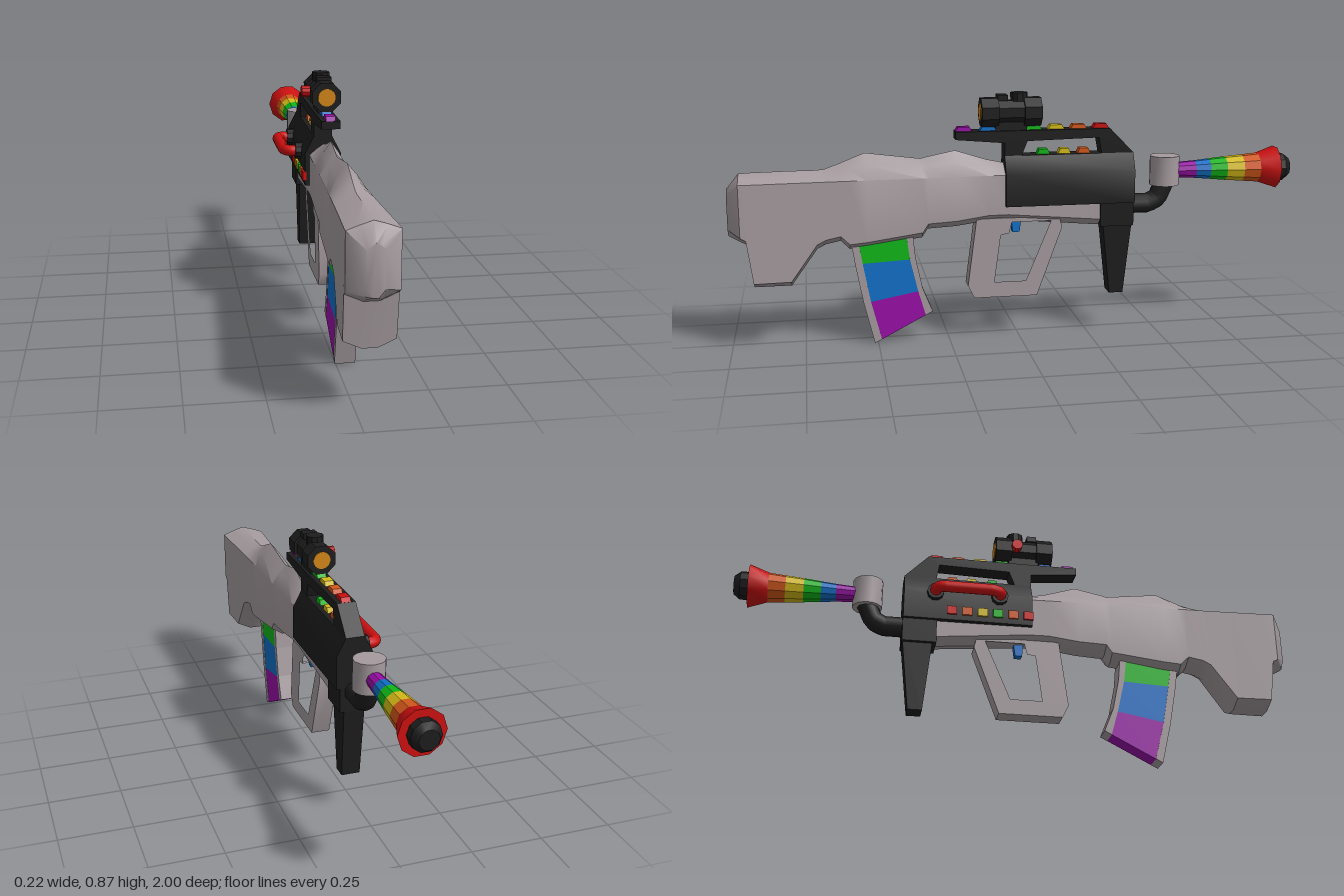
import * as THREE from 'three';
import { toCreasedNormals } from 'three/addons/utils/BufferGeometryUtils.js';

const CX = 0.03; // plane of symmetry
const mat = (name, color) => { const m = new THREE.MeshStandardMaterial({ color }); m.name = name; return m; };

export function createModel() {
  const M = {
    grey: mat('warm grey', 0xa59b9e), black: mat('black', 0x1d1d1d), red: mat('red', 0xcc1010),
    orange: mat('orange', 0xd2581a), yellow: mat('yellow', 0xd4bb18), green: mat('green', 0x10b818),
    blue: mat('blue', 0x1070c8), purple: mat('purple', 0x9a0fa8), amber: mat('amber glass', 0xd28618),
  };
  const model = new THREE.Group();
  model.name = 'toyRifle';

  const add = (name, geo, m, x = CX, y = 0, z = 0, crease = 0.6) => {
    const mesh = new THREE.Mesh(toCreasedNormals(geo, crease), m);
    mesh.name = name;
    mesh.position.set(x, y, z);
    model.add(mesh);
    return mesh;
  };
  const box = (name, m, w, h, d, x, y, z) => add(name, new THREE.BoxGeometry(w, h, d), m, x, y, z);
  // Side profile in [z, y], extruded symmetrically across x
  const plate = (name, m, pts, hw, hole) => {
    const s = new THREE.Shape(pts.map(p => new THREE.Vector2(...p)));
    if (hole) s.holes.push(new THREE.Path(hole.map(p => new THREE.Vector2(...p))));
    const g = new THREE.ExtrudeGeometry(s, { depth: 2 * hw, bevelEnabled: false });
    g.rotateY(-Math.PI / 2).translate(hw, 0, 0);
    return add(name, g, m);
  };
  // Cylinder along z from z0 (front radius r0) to z1 (radius r1), z0 > z1
  const tubeZ = (name, m, z0, r0, z1, r1, y, n = 10) => {
    const g = new THREE.CylinderGeometry(r0, r1, z0 - z1, n);
    g.rotateX(Math.PI / 2).rotateZ(Math.PI / n);
    return add(name, g, m, CX, y, (z0 + z1) / 2);
  };
  // Skin over rings of [x, y, z], ordered from -z to +z, counterclockwise seen from +z
  const loft = (rings) => {
    const n = rings[0].length, idx = [], last = (rings.length - 1) * n;
    for (let i = 0; i < rings.length - 1; i++) for (let j = 0; j < n; j++) {
      const a = i * n + j, b = i * n + (j + 1) % n;
      idx.push(a, b, b + n, a, b + n, a + n);
    }
    for (let j = 1; j < n - 1; j++) idx.push(0, j + 1, j, last, last + j, last + j + 1);
    const g = new THREE.BufferGeometry();
    g.setAttribute('position', new THREE.Float32BufferAttribute(rings.flat(2), 3));
    g.setIndex(idx);
    return g;
  };

  // Stock: [z, top, bottom, half width]
  const stations = [
    [-0.29, 0.60, 0.39, 0.042], [0.04, 0.62, 0.42, 0.047], [0.11, 0.635, 0.42, 0.05],
    [0.22, 0.67, 0.405, 0.053], [0.32, 0.65, 0.40, 0.056], [0.34, 0.645, 0.37, 0.057],
    [0.53, 0.67, 0.345, 0.063], [0.59, 0.647, 0.34, 0.065], [0.62, 0.635, 0.37, 0.066],
    [0.67, 0.617, 0.36, 0.068], [0.70, 0.615, 0.345, 0.069], [0.79, 0.615, 0.22, 0.073],
    [0.915, 0.613, 0.22, 0.079], [0.935, 0.612, 0.37, 0.08], [0.953, 0.612, 0.38, 0.08],
    [0.995, 0.56, 0.40, 0.028],
  ];
  add('stock', loft(stations.map(([z, t, b, w]) => {
    const sh = Math.min(t - 0.02, 0.585), lo = b + 0.025, mid = t - (t - sh) * 0.45;
    return [[0, t], [-0.5 * w, mid], [-w, sh], [-w, lo], [-0.3 * w, b],
      [0.3 * w, b], [w, lo], [w, sh], [0.5 * w, mid]].map(([x, y]) => [x, y, z]);
  })), M.grey, CX, 0, 0, 0.7);

  // Receiver with sloped shoulders, front post and top rail
  const section = [[0.032, 0.65], [-0.032, 0.65], [-0.063, 0.59], [-0.063, 0.475], [0.063, 0.475], [0.063, 0.59]];
  add('receiver', loft([-0.41, 0.05].map(z => section.map(([x, y]) => [x, y, z]))), M.black);
  plate('receiverFront', M.black, [[-0.29, 0.39], [-0.29, 0.48], [-0.41, 0.48], [-0.41, 0.39]], 0.05);
  plate('carryFrame', M.black, [
    [0.05, 0.63], [-0.41, 0.63], [-0.41, 0.65], [-0.325, 0.737], [0.22, 0.737], [0.22, 0.71], [0.05, 0.695],
  ], 0.032, [[-0.01, 0.65], [-0.03, 0.70], [-0.285, 0.706], [-0.295, 0.65]]);

  // Tapered front grip
  add('frontGrip', loft([
    [-0.41, -0.38], [-0.30, -0.33],
  ].map(([zt, zb]) => [[0.036, 0.42, zt], [-0.036, 0.42, zt], [-0.032, 0.14, zb], [0.032, 0.14, zb]])), M.black);

  // Coloured keys on the rail, in the window and along the receiver's right side
  [['purple', 0.19], ['blue', 0.105], ['green', -0.055], ['yellow', -0.135], ['orange', -0.215], ['red', -0.295]]
    .forEach(([c, z]) => plate(c + 'RailKey', M[c],
      [[z + 0.03, 0.735], [z + 0.02, 0.752], [z - 0.02, 0.752], [z - 0.03, 0.735]], 0.016));
  [['green', -0.09], ['yellow', -0.165], ['orange', -0.235]]
    .forEach(([c, z]) => plate(c + 'WindowKey', M[c],
      [[z + 0.025, 0.645], [z + 0.015, 0.668], [z - 0.015, 0.668], [z - 0.025, 0.645]], 0.016));
  ['red', 'orange', 'yellow', 'green', 'orange', 'red']
    .forEach((c, i) => box(c + 'SideKey', M[c], 0.012, 0.03, 0.035, CX - 0.065, 0.51, -0.24 + i * 0.055));

  // Side handle
  const path = new THREE.CurvePath();
  const pts = [[-0.03, -0.30], [-0.075, -0.30], [-0.09, -0.28], [-0.09, -0.10], [-0.075, -0.07], [-0.03, -0.07]]
    .map(([x, z]) => new THREE.Vector3(x, 0.575, z));
  for (let i = 0; i < pts.length - 1; i++) path.add(new THREE.LineCurve3(pts[i], pts[i + 1]));
  add('sideHandle', new THREE.TubeGeometry(path, 40, 0.02, 12), M.red, 0, 0, 0, 0.8);
  for (const z of [-0.30, -0.07]) {
    add('handleCollar', new THREE.CylinderGeometry(0.03, 0.03, 0.03, 10).rotateZ(Math.PI / 2), M.black, -0.038, 0.575, z);
  }

  // Trigger guard grip and trigger
  plate('triggerGrip', M.grey,
    [[0.15, 0.43], [0.182, 0.19], [0.16, 0.145], [-0.065, 0.145], [-0.155, 0.39], [-0.145, 0.43]], 0.033,
    [[0.065, 0.37], [0.088, 0.20], [-0.025, 0.20], [-0.115, 0.415], [0.025, 0.415], [0.035, 0.375]]);
  plate('trigger', M.blue, [[0.025, 0.43], [0.02, 0.375], [-0.005, 0.375], [-0.012, 0.43]], 0.015);

  // Curved magazine: rows of [rear z,y, core z,y, core z,y, front z,y]
  const rows = [
    [[0.585, 0.36], [0.56, 0.36], [0.395, 0.375], [0.372, 0.375]],
    [[0.573, 0.28], [0.548, 0.288], [0.385, 0.296], [0.365, 0.30]],
    [[0.548, 0.145], [0.523, 0.15], [0.358, 0.18], [0.342, 0.19]],
    [[0.513, 0.0], [0.488, 0.012], [0.333, 0.092], [0.308, 0.105]],
  ];
  ['green', 'blue', 'purple'].forEach((c, i) => {
    const a = rows[i], b = rows[i + 1];
    plate('magazineBand', M[c], [a[1], b[1], b[2], a[2]], 0.033);
    plate('magazineRearEdge', M.grey, [a[0], b[0], b[1], a[1]], 0.034);
    plate('magazineFrontEdge', M.grey, [a[2], b[2], b[3], a[3]], 0.034);
  });

  // Bent neck, round joint and striped flared barrel
  const neck = new THREE.CurvePath();
  const np = [[0.46, -0.39], [0.46, -0.475], [0.478, -0.51], [0.57, -0.55]].map(([y, z]) => new THREE.Vector3(0, y, z));
  for (let i = 0; i < 3; i++) neck.add(new THREE.LineCurve3(np[i], np[i + 1]));
  add('neck', new THREE.TubeGeometry(neck, 24, 0.036, 10), M.black, CX, 0, 0, 0.8);
  add('joint', new THREE.CylinderGeometry(0.053, 0.053, 0.105, 14), M.grey, CX, 0.578, -0.535);
  const bands = [['purple', -0.57, 0.027], ['blue', -0.647, 0.032], ['green', -0.70, 0.037],
    ['yellow', -0.76, 0.043], ['orange', -0.823, 0.048], ['red', -0.882, 0.053], [null, -0.95, 0.077]];
  for (let i = 0; i < 6; i++) {
    const [c, z, r] = bands[i], [, z1, r1] = bands[i + 1];
    tubeZ(c + 'BarrelBand', M[c], z, r, z1, r1, 0.577);
  }
  tubeZ('muzzle', M.black, -0.94, 0.05, -0.978, 0.05, 0.577);
  tubeZ('muzzleTip', M.black, -0.978, 0.05, -1.0, 0.033, 0.577);

  // Scope with lenses, mount and knobs
  tubeZ('scopeBody', M.black, 0.08, 0.043, -0.03, 0.043, 0.80, 8);
  for (const [z0, z1] of [[0.13, 0.07], [-0.02, -0.08]]) tubeZ('scopeBell', M.black, z0, 0.053, z1, 0.053, 0.80, 8);
  for (const z of [0.13, -0.08]) tubeZ('lens', M.amber, z + 0.003, 0.03, z - 0.003, 0.03, 0.80, 16);
  box('scopeMount', M.black, 0.045, 0.035, 0.11, CX, 0.752, 0.025);
  add('topKnob', new THREE.CylinderGeometry(0.03, 0.03, 0.03, 10), M.black, CX, 0.852, -0.005);
  box('topCap', M.black, 0.05, 0.02, 0.035, CX, 0.85, 0.055);
  add('sideKnob', new THREE.CylinderGeometry(0.02, 0.02, 0.04, 10).rotateZ(Math.PI / 2), M.red, -0.018, 0.80, -0.005);

  return model;
}
